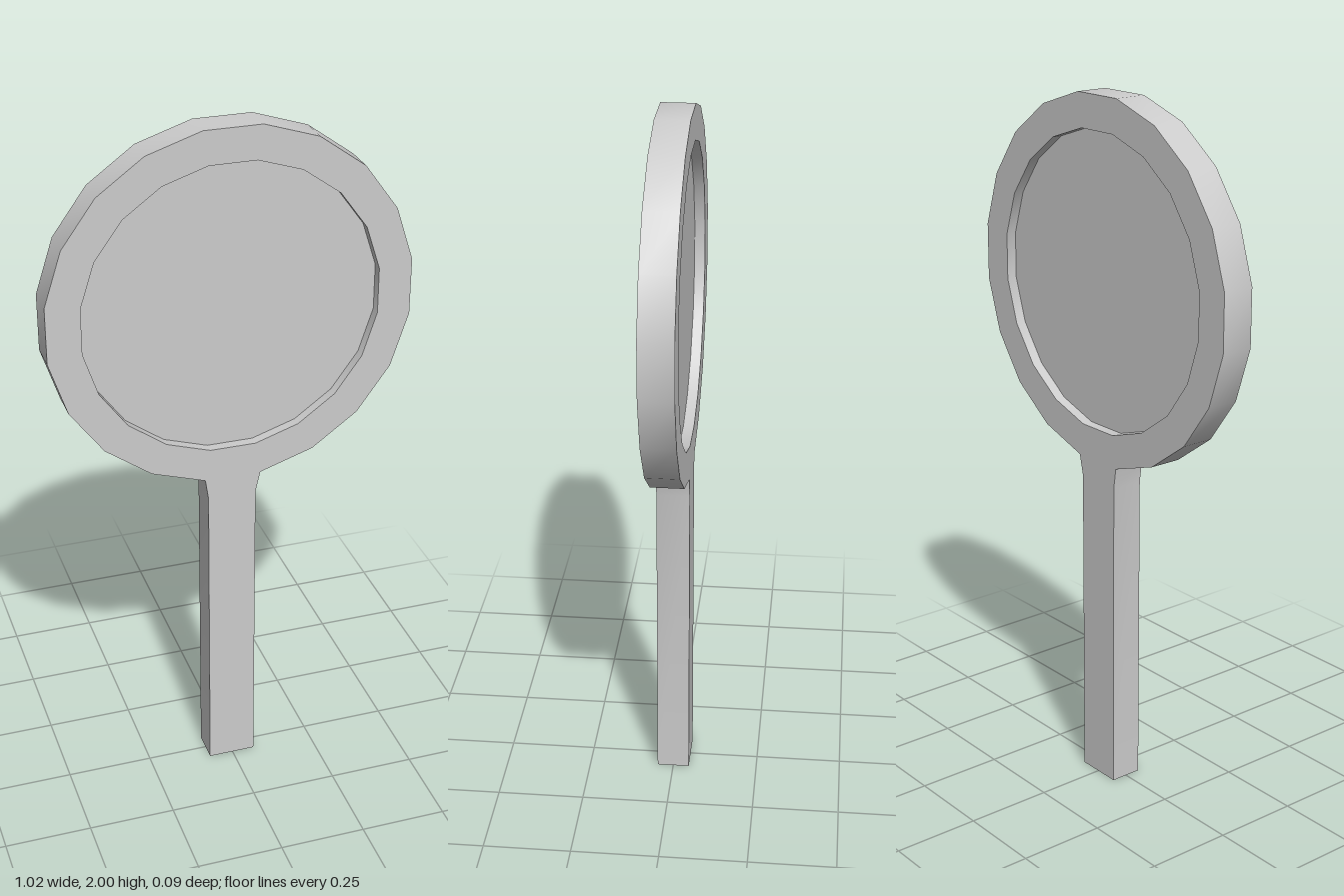
import * as THREE from 'three';
import { toCreasedNormals } from 'three/addons/utils/BufferGeometryUtils.js';

const SIDES = 20;
const STEP = (Math.PI * 2) / SIDES;
const CENTER_Y = 1.49;
const THICKNESS = 0.094;
const RECESS = 0.03;
const OUTER_R = 0.516;
const INNER_R = 0.42;

// Corners of the 20-sided head, starting just right of the bottom and going anticlockwise
function ringPoints(radius) {
  return Array.from({ length: SIDES }, (_, i) => {
    const a = -Math.PI / 2 + STEP * (i + 0.5);
    return new THREE.Vector2(radius * Math.cos(a), CENTER_Y + radius * Math.sin(a));
  });
}

export function createModel() {
  const group = new THREE.Group();
  const material = new THREE.MeshStandardMaterial({ color: 0xcccccc });

  // Rim and handle in one outline: the head, then down and around the flared handle
  const handle = [[-0.072, 0.92], [-0.072, 0], [0.067, 0], [0.067, 0.92]]
    .map(([x, y]) => new THREE.Vector2(x, y));
  const outline = new THREE.Shape([...ringPoints(OUTER_R), ...handle]);
  outline.holes.push(new THREE.Path(ringPoints(INNER_R).reverse()));
  const frameGeometry = new THREE.ExtrudeGeometry(outline, {
    depth: THICKNESS, bevelEnabled: false, steps: 1,
  });
  frameGeometry.translate(0, 0, -THICKNESS / 2);
  const frame = new THREE.Mesh(toCreasedNormals(frameGeometry, 0.5), material);
  frame.name = 'rimAndHandle';
  group.add(frame);

  // Flat pane, recessed on both sides and set slightly into the rim
  const paneGeometry = new THREE.CylinderGeometry(
    INNER_R + 0.01, INNER_R + 0.01, THICKNESS - 2 * RECESS, SIDES, 1, false, STEP / 2);
  paneGeometry.rotateX(Math.PI / 2);
  const pane = new THREE.Mesh(paneGeometry, material);
  pane.position.y = CENTER_Y;
  pane.name = 'pane';
  group.add(pane);

  return group;
}
